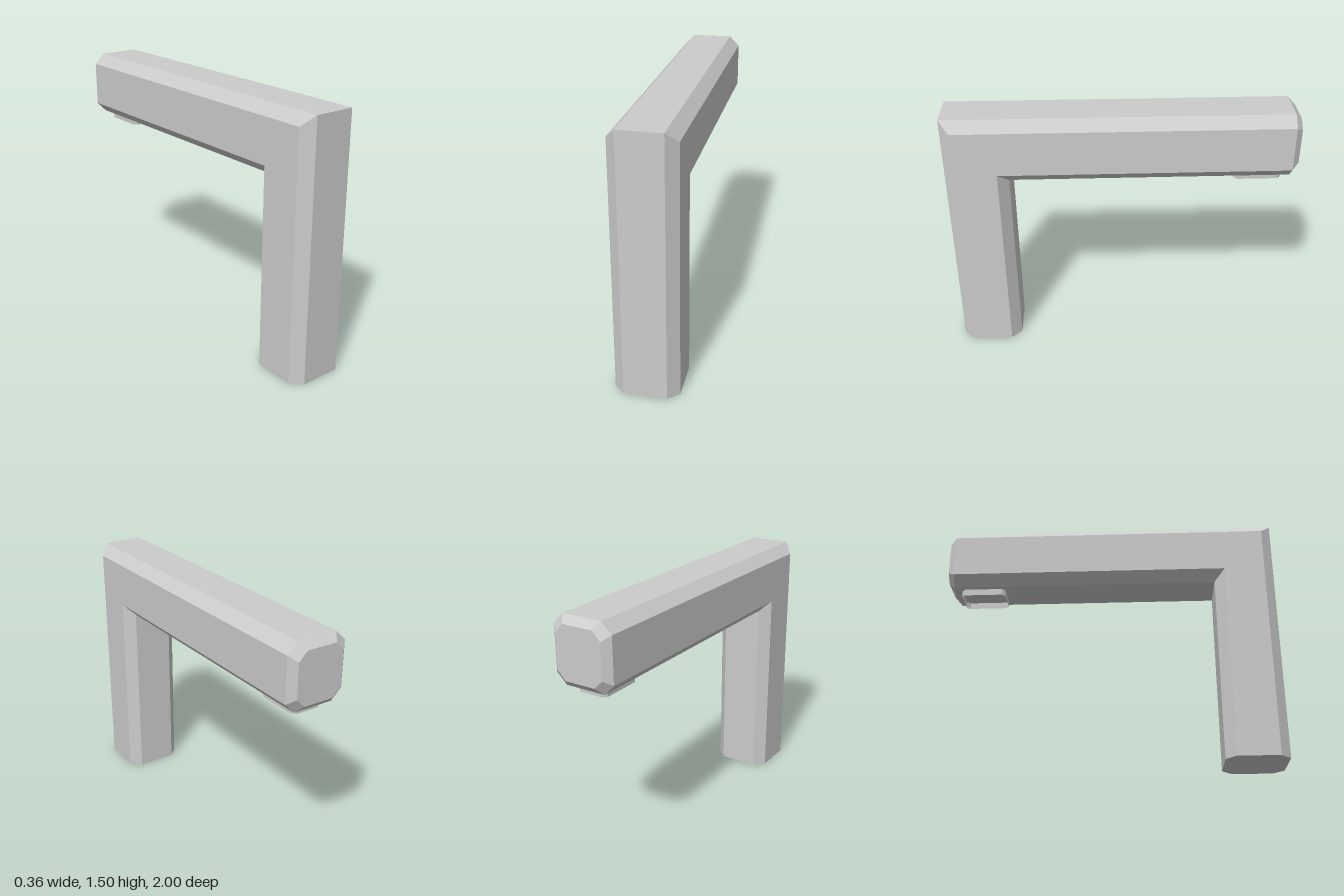
import * as THREE from 'three';

// Skin a list of equal-length closed rings; optional flat caps at both ends
function skin(rings, capped) {
  const n = rings[0].length, pos = [];
  const tri = (...pts) => pts.forEach(p => pos.push(...p));
  for (let r = 0; r < rings.length - 1; r++) {
    for (let i = 0; i < n; i++) {
      const j = (i + 1) % n;
      const a = rings[r][i], b = rings[r][j], c = rings[r + 1][j], d = rings[r + 1][i];
      tri(a, b, c);
      tri(a, c, d);
    }
  }
  if (capped) {
    const first = rings[0], last = rings[rings.length - 1];
    for (let i = 1; i < n - 1; i++) {
      tri(first[0], first[i + 1], first[i]);
      tri(last[0], last[i], last[i + 1]);
    }
  }
  const g = new THREE.BufferGeometry();
  g.setAttribute('position', new THREE.Float32BufferAttribute(pos, 3));
  g.computeVertexNormals();
  return g;
}

// Chamfered rectangle: half width w, depth from d0 to d1, chamfer c
function octagon(w, d0, d1, c) {
  const s = Math.sign(d1 - d0) * c;
  return [
    [-w + c, d0], [w - c, d0], [w, d0 + s], [w, d1 - s],
    [w - c, d1], [-w + c, d1], [-w, d1 - s], [-w, d0 + s],
  ];
}

export function createModel() {
  const group = new THREE.Group();
  const add = (name, geometry, side = THREE.FrontSide) => {
    const mesh = new THREE.Mesh(geometry,
      new THREE.MeshStandardMaterial({ color: 0xcccccc, flatShading: true, side }));
    mesh.name = name;
    group.add(mesh);
  };

  // Post and arm: one chamfered bar with a mitred corner and a bevelled tip
  const post = octagon(0.18, 1, 0.64, 0.06);    // x, z
  const arm = octagon(0.18, 1.5, 1.12, 0.06);   // x, y
  const tip = octagon(0.14, 1.46, 1.16, 0.05);  // x, y
  add('postAndArm', skin([
    post.map(([x, z]) => [x, 0, z]),
    post.map(([x, z], i) => [x, arm[i][1], z]),
    arm.map(([x, y]) => [x, y, -0.96]),
    tip.map(([x, y]) => [x, y, -1]),
  ], true));

  // Thin open rim under the arm near its tip
  const rim = octagon(0.09, -0.65, -0.92, 0.02);
  add('undersideRim', skin([1.08, 1.12].map(y => rim.map(([x, z]) => [x, y, z])), false),
    THREE.DoubleSide);

  return group;
}
